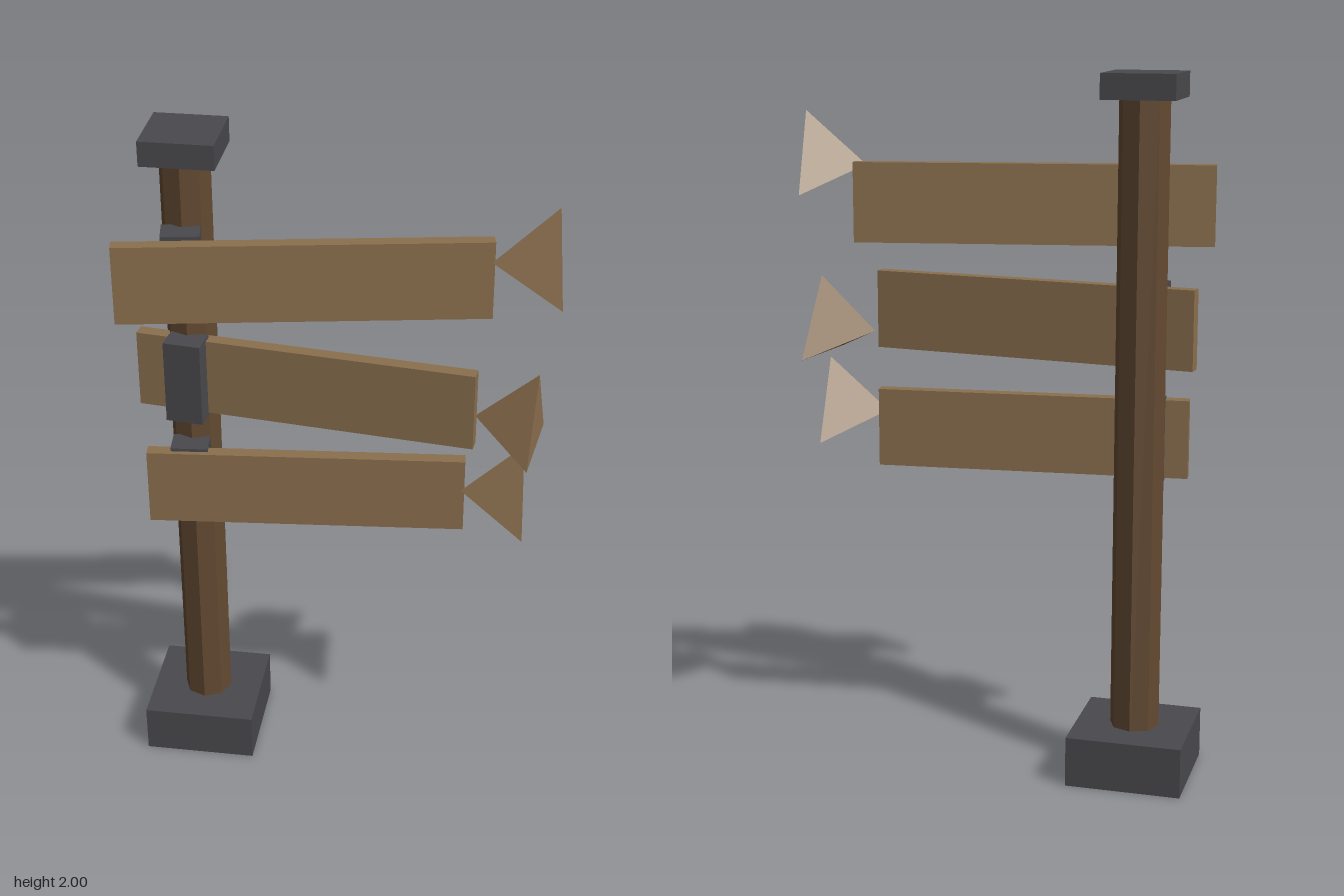
import * as THREE from 'three';

const material = (color) => new THREE.MeshStandardMaterial({ color, flatShading: true });

export function createModel() {
  const group = new THREE.Group();
  group.name = 'signpost';
  const postWood = material(0x634a32);
  const boardWood = material(0x8b6f4e);
  const iron = material(0x4a4a4e);

  const add = (name, geometry, mat, x, y, z, yaw = 0) => {
    const mesh = new THREE.Mesh(geometry, mat);
    mesh.name = name;
    mesh.position.set(x, y, z);
    mesh.rotation.y = THREE.MathUtils.degToRad(yaw);
    group.add(mesh);
  };

  // Octagonal post with a square foot and cap
  const postX = -0.43, postZ = -0.04;
  add('post', new THREE.CylinderGeometry(0.071, 0.071, 1.95, 8), postWood, postX, 0.975, postZ);
  add('base', new THREE.BoxGeometry(0.33, 0.145, 0.33), iron, postX, 0.0725, postZ);
  add('cap', new THREE.BoxGeometry(0.205, 0.07, 0.205), iron, postX, 1.965, postZ);

  // Boards, each with its bracket and a three-sided arrowhead at the free end
  const boardX = -0.097, boardZ = 0.057;
  const signs = [
    { name: 'top', y: 1.626, length: 1.02, yaw: 10, headY: 1.722 },
    { name: 'middle', y: 1.298, length: 0.963, yaw: -7, headY: 1.241 },
    { name: 'bottom', y: 0.966, length: 0.902, yaw: 5, headY: 1.003 },
  ];
  for (const { name, y, length, yaw, headY } of signs) {
    add(name + 'Board', new THREE.BoxGeometry(length, 0.227, 0.039), boardWood, boardX, y, boardZ, yaw);
    add(name + 'Bracket', new THREE.BoxGeometry(0.106, 0.245, 0.08), iron, postX, y, 0.051, yaw);
    // Pyramid lying on its side, tip towards the board
    const head = new THREE.ConeGeometry(0.154, 0.172, 3, 1, false, Math.PI / 2).rotateZ(Math.PI / 2);
    add(name + 'Arrowhead', head, boardWood, boardX + length / 2 + 0.077, headY, 0.059, yaw);
  }
  return group;
}
